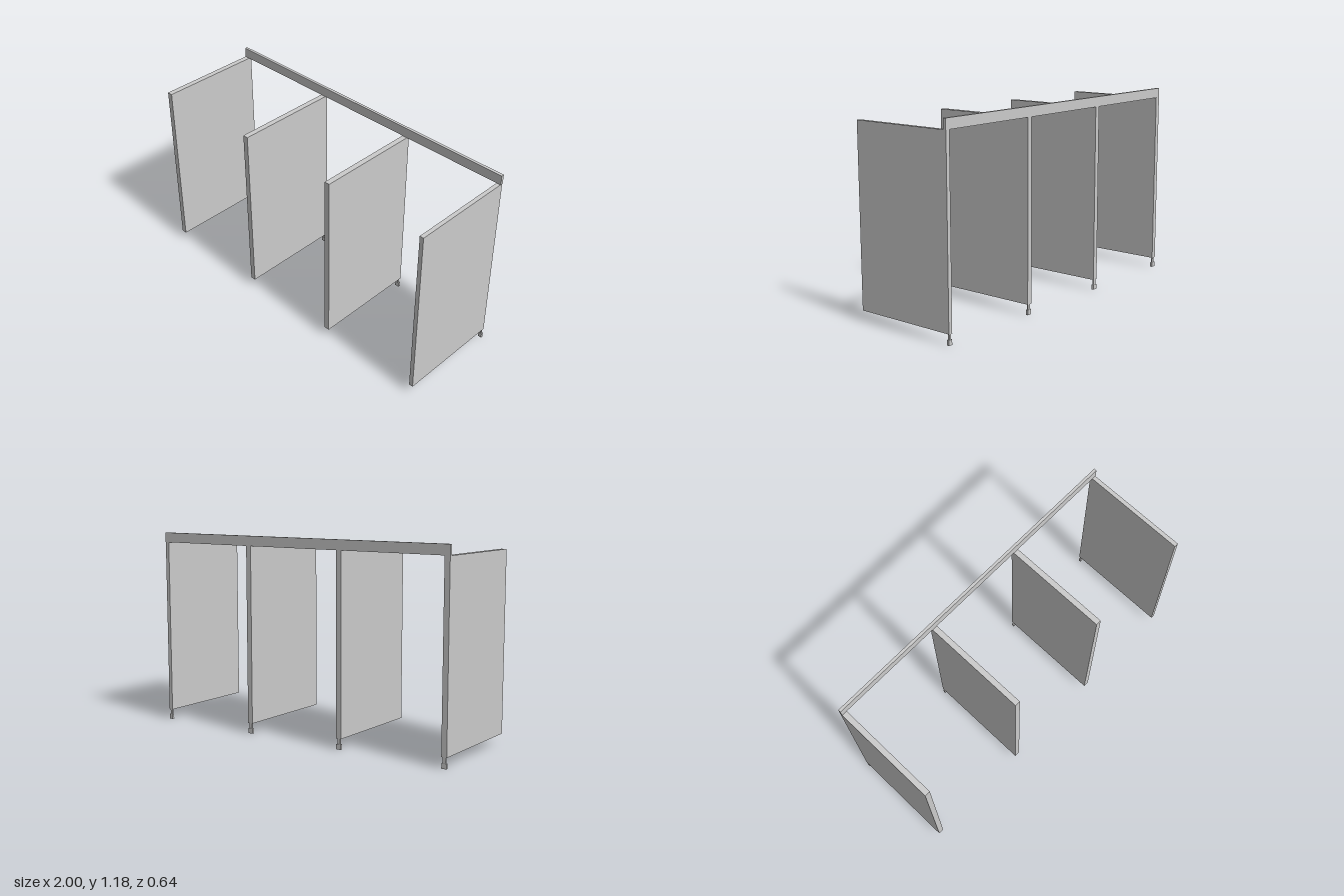
import * as THREE from 'three';

const material = new THREE.MeshStandardMaterial({ color: 0xcccccc, flatShading: true });

// Box given by its limits on each axis
function box(name, [x0, x1], [y0, y1], [z0, z1]) {
  const geometry = new THREE.BoxGeometry(x1 - x0, y1 - y0, z1 - z0);
  geometry.translate((x0 + x1) / 2, (y0 + y1) / 2, (z0 + z1) / 2);
  const mesh = new THREE.Mesh(geometry, material);
  mesh.name = name;
  return mesh;
}

export function createModel() {
  const model = new THREE.Group();
  model.name = 'partitionStalls';

  // Head rail along the back, resting on the panels
  model.add(box('headRail', [-1, 1], [1.117, 1.176], [-0.322, -0.305]));

  // Four divider panels, each on a small foot at the back; the last is thinner
  const spans = [[-1, -0.967], [-0.326, -0.293], [0.316, 0.349], [0.972, 0.997]];
  for (const [x0, x1] of spans) {
    const stall = new THREE.Group();
    stall.name = 'divider';
    const mid = (x0 + x1) / 2;
    const w = x1 - x0;
    stall.add(
      box('panel', [x0, x1], [0.062, 1.117], [-0.322, 0.322]),
      box('footNeck', [mid - w * 0.28, mid + w * 0.28], [0.03, 0.062], [-0.319, -0.31]),
      box('footBase', [mid - w * 0.46, mid + w * 0.46], [0, 0.03], [-0.322, -0.308])
    );
    model.add(stall);
  }
  return model;
}
